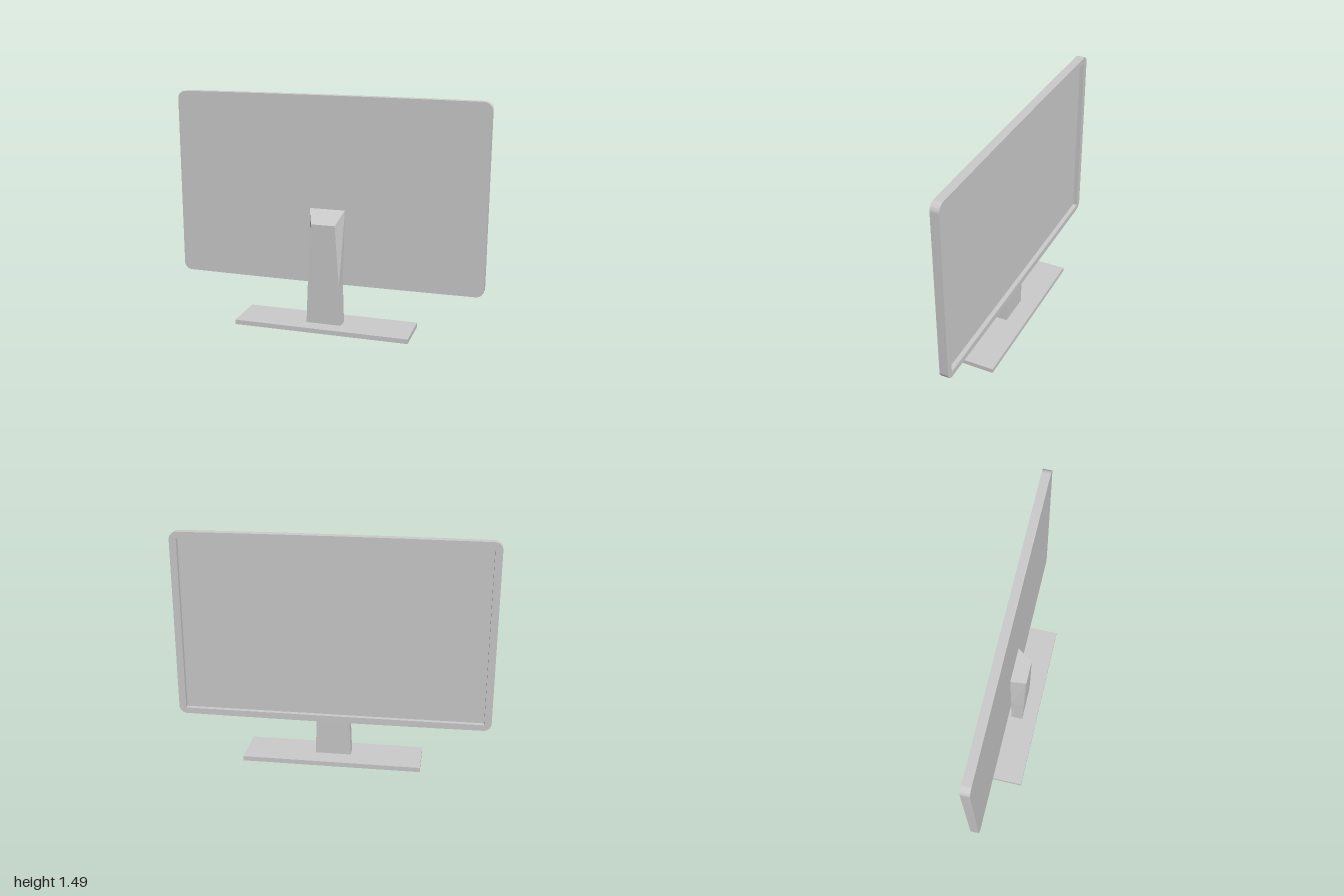
import * as THREE from 'three';
import { toCreasedNormals } from 'three/addons/utils/BufferGeometryUtils.js';

const material = new THREE.MeshStandardMaterial({ color: 0xcccccc });

function addMesh(group, name, geometry) {
  const mesh = new THREE.Mesh(geometry, material);
  mesh.name = name;
  group.add(mesh);
  return mesh;
}

// Rounded panel outline whose long edges bow out very slightly
function panelShape() {
  const w = 1, low = 0.284, high = 1.481, r = 0.05, bow = 0.008;
  const s = new THREE.Shape();
  s.moveTo(-w + r, low);
  s.quadraticCurveTo(0, low - bow, w - r, low);
  s.absarc(w - r, low + r, r, -Math.PI / 2, 0);
  s.absarc(w - r, high - r, r, 0, Math.PI / 2);
  s.quadraticCurveTo(0, high + bow, -w + r, high);
  s.absarc(-w + r, high - r, r, Math.PI / 2, Math.PI);
  s.absarc(-w + r, low + r, r, Math.PI, Math.PI * 1.5);
  return s;
}

function extrude(shape, z0, z1) {
  const geometry = new THREE.ExtrudeGeometry(shape, {
    depth: z1 - z0, bevelEnabled: false, curveSegments: 8,
  });
  geometry.translate(0, 0, z0);
  return toCreasedNormals(geometry, 0.6);
}

// Faceted loft through four-cornered rings, closed at both ends
function loft(rings) {
  const points = [];
  const quad = (a, b, c, d) => points.push(...a, ...b, ...c, ...a, ...c, ...d);
  for (let k = 0; k < rings.length - 1; k++) {
    for (let i = 0; i < 4; i++) {
      const j = (i + 1) % 4;
      quad(rings[k][i], rings[k][j], rings[k + 1][j], rings[k + 1][i]);
    }
  }
  const top = rings[rings.length - 1];
  quad(...top);
  quad(...[...rings[0]].reverse());
  const geometry = new THREE.BufferGeometry();
  geometry.setAttribute('position', new THREE.Float32BufferAttribute(points, 3));
  geometry.computeVertexNormals();
  return geometry;
}

export function createModel() {
  const group = new THREE.Group();
  group.name = 'monitor';

  // Flat rectangular foot
  const base = addMesh(group, 'base', new THREE.BoxGeometry(1.14, 0.03, 0.294));
  base.position.y = 0.015;

  // Tapered neck with a sloping top; each ring has a front and a rear edge
  const ring = (fx, fy, fz, bx, by, bz) => [[fx, fy, fz], [bx, by, bz], [-bx, by, bz], [-fx, fy, fz]];
  addMesh(group, 'neck', loft([
    ring(0.115, 0.03, 0.05, 0.115, 0.03, -0.025),
    ring(0.103, 0.29, 0.057, 0.105, 0.29, -0.03),
    ring(0.077, 0.69, 0.066, 0.116, 0.772, -0.03),
  ]));

  // Housing, whose face towards -z is the recessed screen
  addMesh(group, 'screenHousing', extrude(panelShape(), -0.054, -0.028));

  // Raised bezel around the screen
  const frame = panelShape();
  const x = 0.955, y0 = 0.322, y1 = 1.443;
  const opening = new THREE.Path();
  opening.moveTo(-x, y0).lineTo(-x, y1).lineTo(x, y1).lineTo(x, y0).lineTo(-x, y0);
  frame.holes.push(opening);
  addMesh(group, 'bezel', extrude(frame, -0.083, -0.054));

  return group;
}
